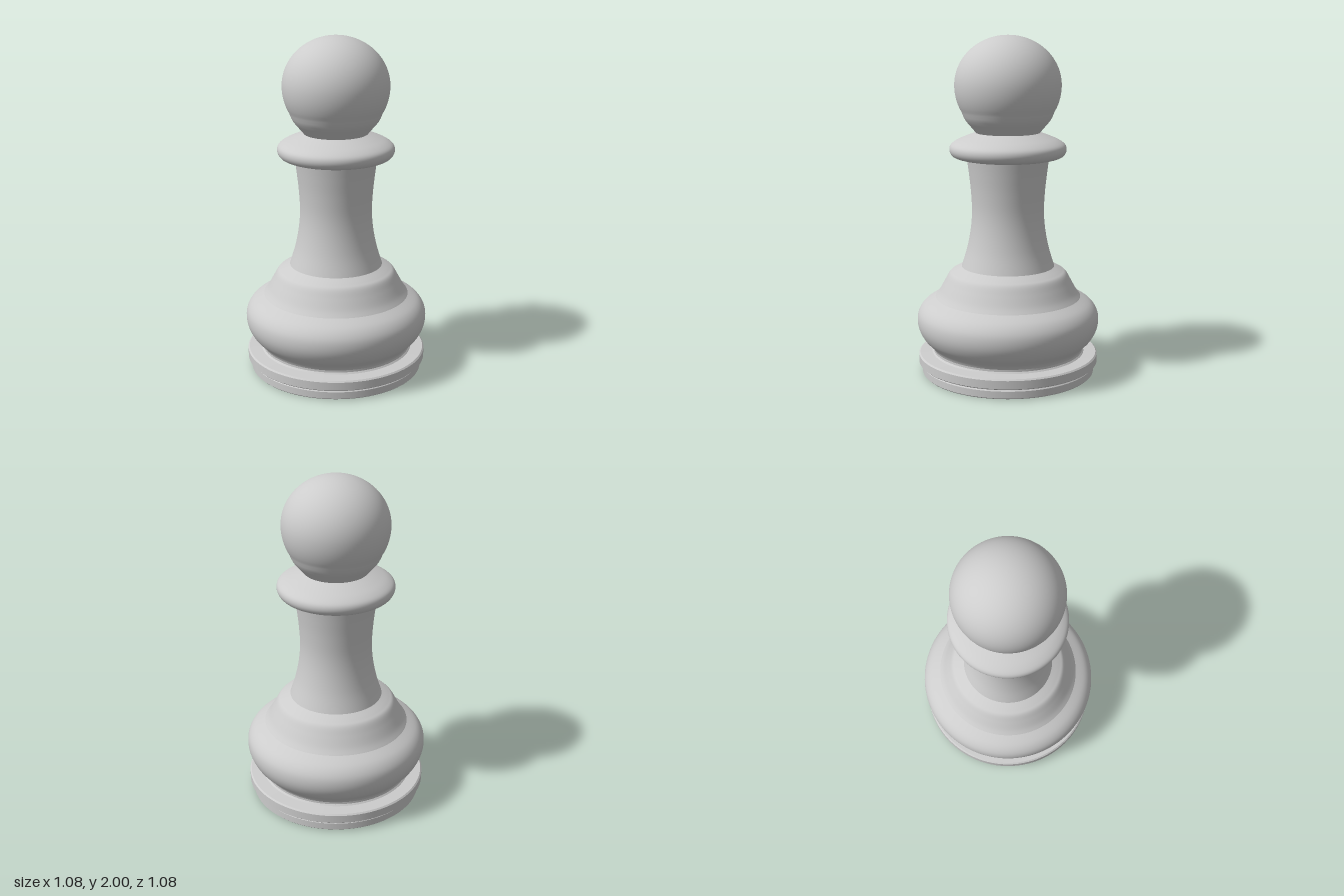
import * as THREE from 'three';
import { mergeGeometries } from 'three/addons/utils/BufferGeometryUtils.js';

const SEGMENTS = 96;

export function createModel() {
  const model = new THREE.Group();
  model.name = 'pawn';
  const grey = new THREE.MeshStandardMaterial({ color: 0xcccccc });
  grey.name = 'plain grey';

  const vectors = (points) => points.map(([r, y]) => new THREE.Vector2(r, y));
  const lathe = (points) => new THREE.LatheGeometry(points, SEGMENTS);
  const add = (name, geometry) => {
    const mesh = new THREE.Mesh(geometry, grey);
    mesh.name = name;
    model.add(mesh);
  };
  // smooth turned part: a spline through the profile, bottom to top
  const turned = (name, points, steps = 32) =>
    add(name, lathe(new THREE.SplineCurve(vectors(points)).getPoints(steps)));
  // crisp turned part: every profile segment keeps its own normals
  const crisp = (name, points) => {
    const v = vectors(points);
    add(name, mergeGeometries(v.slice(1).map((p, i) => lathe([v[i], p]))));
  };

  // stepped base
  crisp('lowerBase', [[0, 0], [0.508, 0], [0.514, 0.006], [0.514, 0.046], [0.508, 0.053], [0.49, 0.053]]);
  crisp('baseGroove', [[0.49, 0.053], [0.49, 0.061]]);
  crisp('upperBase', [[0.49, 0.061], [0.527, 0.061], [0.535, 0.068], [0.535, 0.116], [0.527, 0.124], [0.455, 0.128]]);
  crisp('baseNeck', [[0.455, 0.128], [0.447, 0.137], [0.447, 0.15]]);

  // bulging body and its sloping shoulder
  turned('body', [[0.447, 0.15], [0.462, 0.175], [0.505, 0.22], [0.533, 0.275], [0.541, 0.33],
    [0.53, 0.38], [0.495, 0.425], [0.432, 0.464]], 40);
  turned('shoulder', [[0.432, 0.464], [0.408, 0.497], [0.376, 0.555], [0.348, 0.603], [0.32, 0.623], [0.275, 0.647]]);

  // waisted stem
  turned('stem', [[0.275, 0.647], [0.242, 0.755], [0.22, 0.87], [0.212, 0.98], [0.218, 1.1], [0.23, 1.21], [0.24, 1.285]]);

  // collar with a rounded rim
  turned('collar', [[0.24, 1.285], [0.285, 1.291], [0.323, 1.305], [0.341, 1.335], [0.335, 1.368],
    [0.3, 1.395], [0.245, 1.419], [0.187, 1.44]], 40);

  // ball head, flattened slightly at the crown
  const head = [[0.187, 1.44], [0.213, 1.471], [0.25, 1.516]];
  for (let i = -6; i <= 18; i++) {
    const a = (i / 18) * Math.PI / 2;
    head.push([Math.max(0, 0.31 * Math.cos(a)), 1.713 + (i < 0 ? 0.31 : 0.287) * Math.sin(a)]);
  }
  turned('head', head, 56);

  return model;
}
